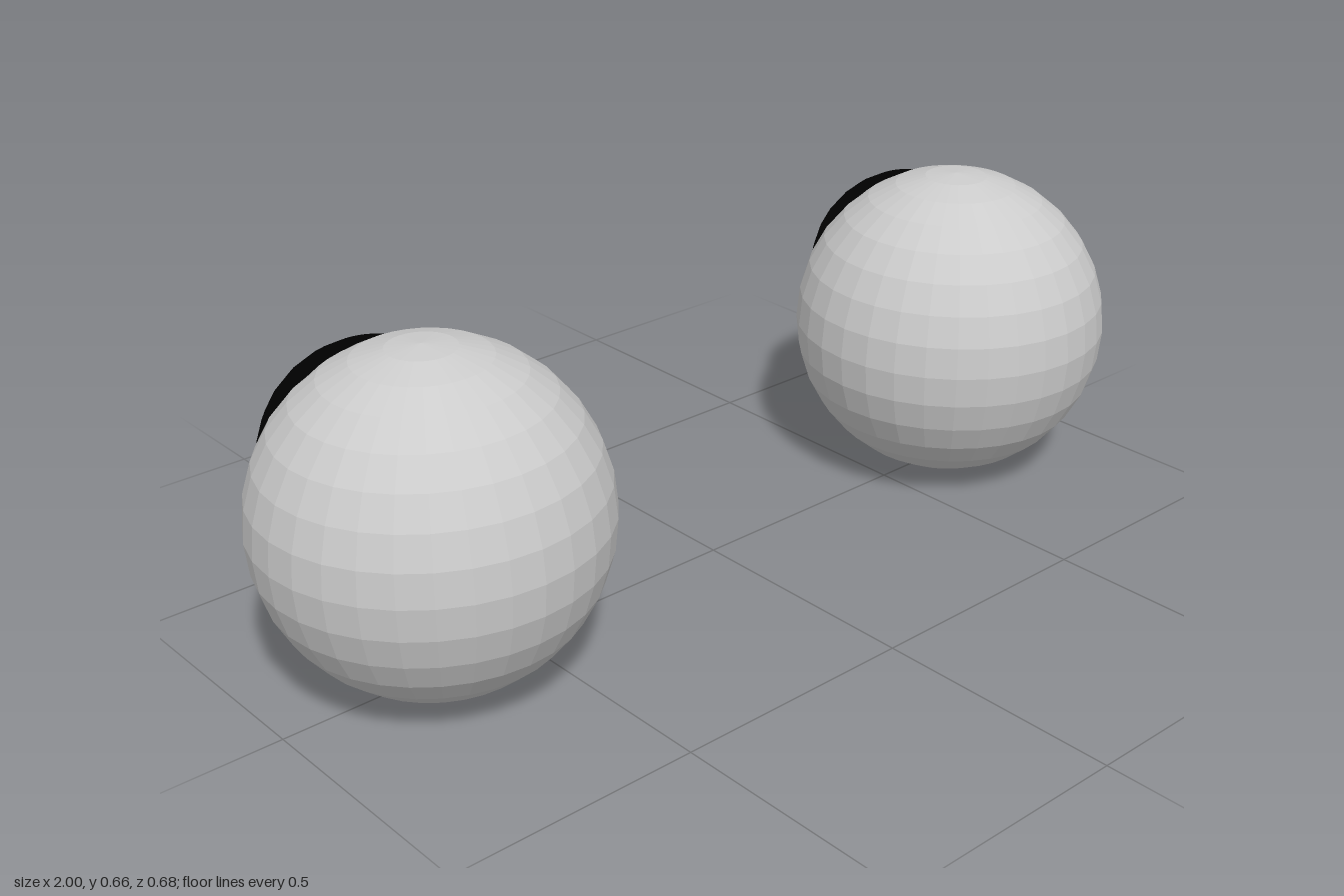
import * as THREE from 'three';

export function createModel() {
  const model = new THREE.Group();
  const white = new THREE.MeshStandardMaterial({ color: 0xcccccc, flatShading: true });
  const black = new THREE.MeshStandardMaterial({ color: 0x000000, flatShading: true });

  function ball(name, radius, material, x, y, z) {
    const mesh = new THREE.Mesh(new THREE.SphereGeometry(radius, 32, 16), material);
    mesh.name = name;
    mesh.position.set(x, y, z);
    return mesh;
  }

  // A mirrored pair of eyes, each with a pupil bulging up and out at the back
  for (const [side, s] of [['left', 1], ['right', -1]]) {
    const eye = new THREE.Group();
    eye.name = side + 'Eye';
    eye.position.set(s * 0.672, 0.328, 0.011);
    eye.add(
      ball(side + 'Eyeball', 0.328, white, 0, 0, 0),
      ball(side + 'Pupil', 0.215, black, s * 0.015, 0.073, -0.135)
    );
    model.add(eye);
  }
  return model;
}
